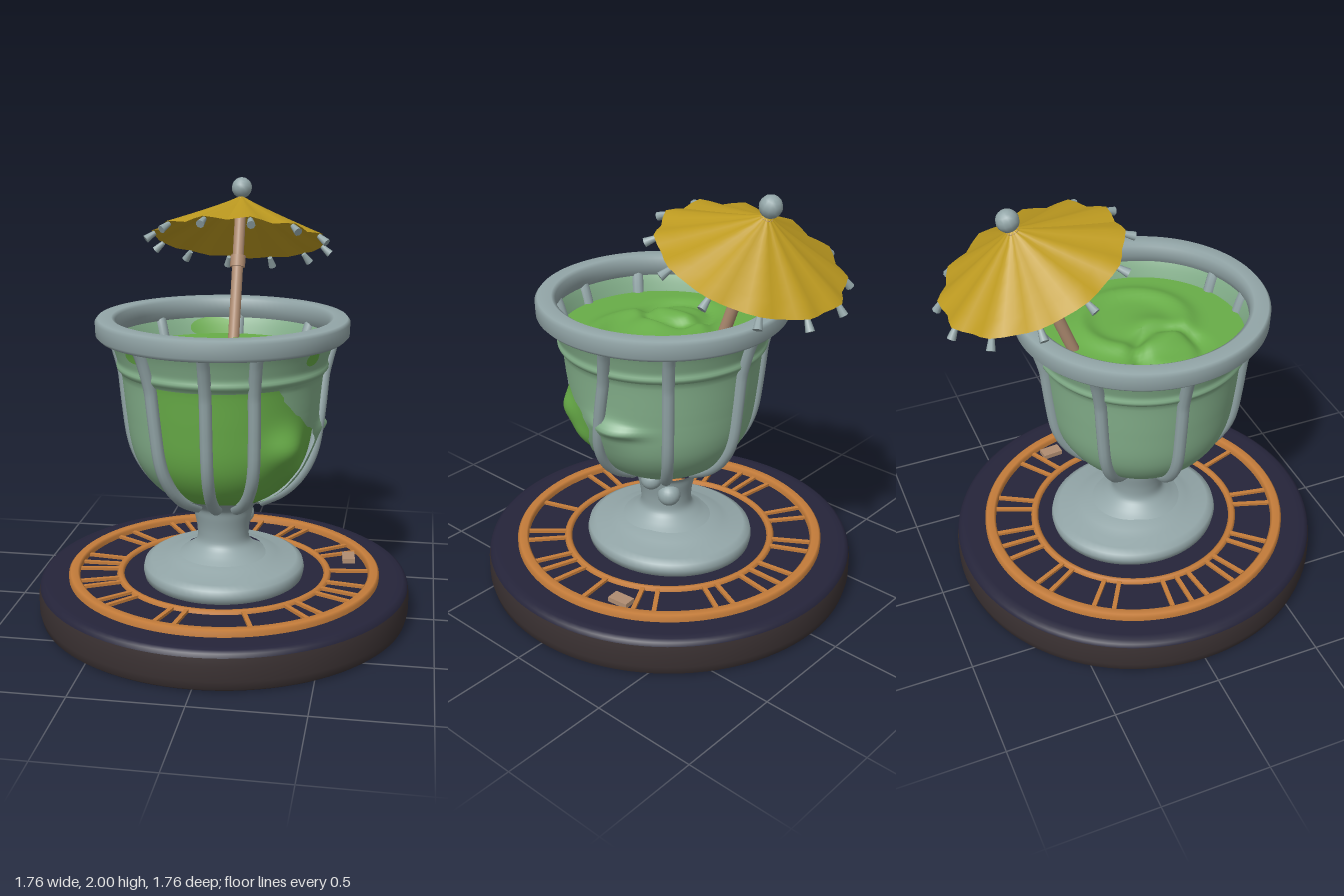
import * as THREE from 'three';

const mat = (name, color, side = THREE.FrontSide) => {
  const m = new THREE.MeshStandardMaterial({ color, side });
  m.name = name;
  return m;
};
const rad = THREE.MathUtils.degToRad;
const V2 = (p) => p.map(([r, y]) => new THREE.Vector2(r, y));

// Bowl profile: radius as a function of height
const bowlPts = new THREE.SplineCurve(V2([[0.15, 0.56], [0.24, 0.6], [0.32, 0.66], [0.385, 0.75], [0.42, 0.85],
  [0.44, 1.0], [0.455, 1.15], [0.465, 1.2], [0.495, 1.3], [0.525, 1.37]])).getPoints(80);
function bowlR(y) {
  const i = Math.max(1, bowlPts.findIndex((p) => p.y >= y));
  const a = bowlPts[i - 1], b = bowlPts[i];
  return THREE.MathUtils.lerp(a.x, b.x, THREE.MathUtils.clamp((y - a.y) / (b.y - a.y), 0, 1));
}
const bump = (az, y, a0, y0, wa, wy) => Math.exp(-(((az - a0) / wa) ** 2) - ((y - y0) / wy) ** 2);

// Piece of bowl wall between two angles (degrees from +z towards +x) that may vary with height
function wall(azA, azB, y0, y1, offset, nu = 60, nv = 32) {
  const g = new THREE.PlaneGeometry(1, 1, nu, nv), p = g.attributes.position;
  for (let i = 0; i < p.count; i++) {
    const y = THREE.MathUtils.lerp(y0, y1, p.getY(i) + 0.5);
    const az = THREE.MathUtils.lerp(azA(y), azB(y), p.getX(i) + 0.5);
    const r = bowlR(y) + offset(az, y), t = rad(az);
    p.setXYZ(i, r * Math.sin(t), y, r * Math.cos(t));
  }
  g.computeVertexNormals();
  return g;
}

export function createModel() {
  const M = {
    stone: mat('grey metal', 0x93a6a8),
    glass: mat('pale green glass', 0x84b08b, THREE.DoubleSide),
    slime: mat('bright green liquid', 0x68ad48, THREE.DoubleSide),
    navy: mat('navy top', 0x25243a),
    brown: mat('dark brown base', 0x3a3132),
    orange: mat('orange inlay', 0xc47c3a),
    yellow: mat('yellow canopy', 0xbd9a20, THREE.DoubleSide),
    wood: mat('tan wood', 0xb08d72),
  };
  const root = new THREE.Group();
  const add = (parent, name, geo, m, x = 0, y = 0, z = 0) => {
    const o = new THREE.Mesh(geo, m);
    o.name = name;
    o.position.set(x, y, z);
    parent.add(o);
    return o;
  };
  const group = (name, parent = root) => {
    const g = new THREE.Group();
    g.name = name;
    parent.add(g);
    return g;
  };

  // Round base with navy top
  const base = group('base');
  add(base, 'baseBody', new THREE.LatheGeometry(V2([[0, 0], [0.855, 0], [0.868, 0.01], [0.878, 0.05], [0.878, 0.12], [0.873, 0.155]]), 96), M.brown);
  add(base, 'baseTop', new THREE.LatheGeometry(V2([[0.873, 0.155], [0.866, 0.172], [0.85, 0.182], [0.82, 0.184], [0, 0.184]]), 96), M.navy);

  // Raised inlay rings and radial marks
  const ring = (name, r0, r1, y) => add(base, name, new THREE.LatheGeometry(
    V2([[r1, 0.17], [r1, y - 0.01], [r1 - 0.01, y], [r0 + 0.01, y], [r0, y - 0.01], [r0, 0.17]]), 96), M.orange);
  ring('outerRing', 0.685, 0.737, 0.214);
  ring('innerRing', 0.475, 0.51, 0.2);
  const marks = group('dialMarks', base);
  for (const a of [-18, -10, 19, 42, 49, 65, 72, 81, 97, 118, 126, 150, 157, 172, 180, 188, 206, 213, 232, 240, 263, 271, 278, 291, 297, 312, 318]) {
    const m = add(marks, 'mark', new THREE.BoxGeometry(0.02, 0.02, 0.19), M.orange, 0.598 * Math.sin(rad(a)), 0.187, 0.598 * Math.cos(rad(a)));
    m.rotation.y = rad(a);
  }
  add(base, 'woodChip', new THREE.BoxGeometry(0.06, 0.025, 0.1), M.wood, 0.58, 0.195, -0.23).rotation.y = 0.1;

  // Foot and stem
  const foot = add(root, 'foot', new THREE.LatheGeometry(V2([[0, 0.18], [0.375, 0.18], [0.382, 0.215], [0.375, 0.245], [0.345, 0.262],
    [0.285, 0.264], [0.25, 0.285], [0.19, 0.3]]), 64), M.stone);
  foot.scale.z = 1.07;
  const stemCurve = new THREE.SplineCurve(V2([[0.27, 0.262], [0.215, 0.29], [0.165, 0.32], [0.125, 0.36], [0.122, 0.42],
    [0.135, 0.49], [0.15, 0.54], [0.2, 0.575], [0.285, 0.62]]));
  add(root, 'stem', new THREE.LatheGeometry(stemCurve.getPoints(40), 64), M.stone, 0, 0, 0.02);
  for (const [x, y, z, r] of [[0.08, 0.46, -0.07, 0.055], [0.17, 0.57, -0.04, 0.05]]) {
    add(root, 'stemDrip', new THREE.SphereGeometry(r, 20, 14), M.stone, x, y, z);
  }

  // Bowl: intact glass, with a broken front opening that exposes the liquid
  const bowl = group('bowl');
  bowl.position.z = 0.04;
  const edge = new THREE.SplineCurve(V2([[62, 0.58], [66, 0.68], [76, 0.8], [82, 0.9], [66, 1.0], [52, 1.08], [40, 1.19]])).getPoints(40);
  const edgeAz = (y) => (edge.find((p) => p.y >= y) || edge[40]).x;
  const glassShape = (az, y) => 0.014 * Math.exp(-(((y - 1.21) / 0.018) ** 2))
    + 0.04 * bump(az, y, 105, 0.93, 14, 0.03) + 0.02 * bump(az, y, 95, 0.9, 14, 0.08);
  add(bowl, 'glassWall', wall(edgeAz, () => 327, 0.58, 1.19, glassShape, 100, 40), M.glass);
  add(bowl, 'glassBand', wall(() => 0, () => 360, 1.18, 1.36, glassShape, 96, 20), M.glass);
  add(bowl, 'exposedLiquid', wall(() => -36, () => 90, 0.58, 1.19, (az, y) => -0.018 + 0.055 * bump(az, y, 50, 0.89, 14, 0.09)
    + 0.025 * bump(az, y, 62, 0.78, 12, 0.06)), M.slime);

  // Liquid smears on the band, inside and outside
  for (const [a, w, y0, y1, off] of [[195, 26, 1.24, 1.33, -0.007], [250, 18, 1.25, 1.31, -0.007], [60, 10, 1.27, 1.33, 0.006], [-40, 14, 1.28, 1.33, 0.006]]) {
    const taper = (y) => (w / 2) * Math.sqrt(Math.max(0.02, 1 - ((y - (y0 + y1) / 2) / (y1 - y0) * 1.9) ** 2));
    add(bowl, 'smear', wall((y) => a - taper(y), (y) => a + taper(y), y0, y1, () => off, 12, 10), M.slime);
  }

  // Swirled liquid surface
  const liquid = new THREE.RingGeometry(0.001, 0.472, 72, 24).rotateX(-Math.PI / 2), lp = liquid.attributes.position;
  for (let i = 0; i < lp.count; i++) {
    const x = lp.getX(i), z = lp.getZ(i);
    const arc = (cx, cz, r, w) => Math.exp(-(((Math.hypot(x - cx, z - cz) - r) / w) ** 2));
    const fade = 1 - (Math.hypot(x, z) / 0.475) ** 4;
    lp.setY(i, 1.255 + fade * (0.04 * arc(0, 0.05, 0, 0.11) - 0.03 * arc(-0.18, 0.06, 0.15, 0.035) + 0.03 * arc(0.1, 0, 0.24, 0.05)));
  }
  liquid.computeVertexNormals();
  add(bowl, 'liquidSurface', liquid, M.slime);

  // Rim
  add(bowl, 'rim', new THREE.LatheGeometry(V2([[0.5, 1.33], [0.555, 1.338], [0.572, 1.355], [0.574, 1.415], [0.562, 1.43],
    [0.5, 1.432], [0.482, 1.42], [0.478, 1.37], [0.5, 1.33]]), 96), M.stone);

  // Ribs following the bowl, slightly irregular where broken
  for (const [aTop, aLow] of [[0, 0], [25, 29], [104, 82], [135, 135], [180, 180], [225, 225], [270, 270], [326, 330]]) {
    const pts = [];
    for (let i = 0; i <= 16; i++) {
      const k = i / 16, y = 0.57 + 0.79 * k, t = rad(THREE.MathUtils.lerp(aLow, aTop, k)), r = bowlR(y) + 0.006;
      pts.push(new THREE.Vector3(r * Math.sin(t), y, r * Math.cos(t)));
    }
    add(bowl, 'rib', new THREE.TubeGeometry(new THREE.CatmullRomCurve3(pts), 40, 0.028, 10), M.stone);
  }

  // Small paper umbrella leaning back
  const umbrella = group('umbrella');
  umbrella.position.set(0, 1.695, -0.453);
  umbrella.rotation.x = rad(-20.5);
  const canopy = new THREE.ConeGeometry(1, 1, 48, 6, true), cp = canopy.attributes.position;
  for (let i = 0; i < cp.count; i++) {
    const d = 0.5 - cp.getY(i), t = Math.atan2(cp.getX(i), cp.getZ(i));
    const c = Math.cos(12 * (t - rad(15)));
    const r = d * (0.412 + 0.012 * c);
    cp.setXYZ(i, r * Math.sin(t), 0.235 - 0.215 * d ** 0.92 + 0.007 * d * c, r * Math.cos(t));
  }
  canopy.computeVertexNormals();
  add(umbrella, 'canopy', canopy, M.yellow);
  for (let i = 0; i < 12; i++) {
    const arm = group('canopyTip', umbrella);
    arm.rotation.y = rad(15 + 30 * i);
    const tip = add(arm, 'tip', new THREE.CylinderGeometry(0.012, 0.02, 0.055, 8), M.stone, 0, 0, 0.428);
    tip.rotation.x = rad(-50);
  }
  add(umbrella, 'stick', new THREE.CylinderGeometry(0.027, 0.027, 0.76, 16), M.wood, 0, -0.16, 0);
  add(umbrella, 'collar', new THREE.CylinderGeometry(0.038, 0.036, 0.055, 16), M.wood, 0, -0.09, 0);
  add(umbrella, 'knob', new THREE.SphereGeometry(0.05, 12, 8), M.stone, 0, 0.274, 0);
  return root;
}
